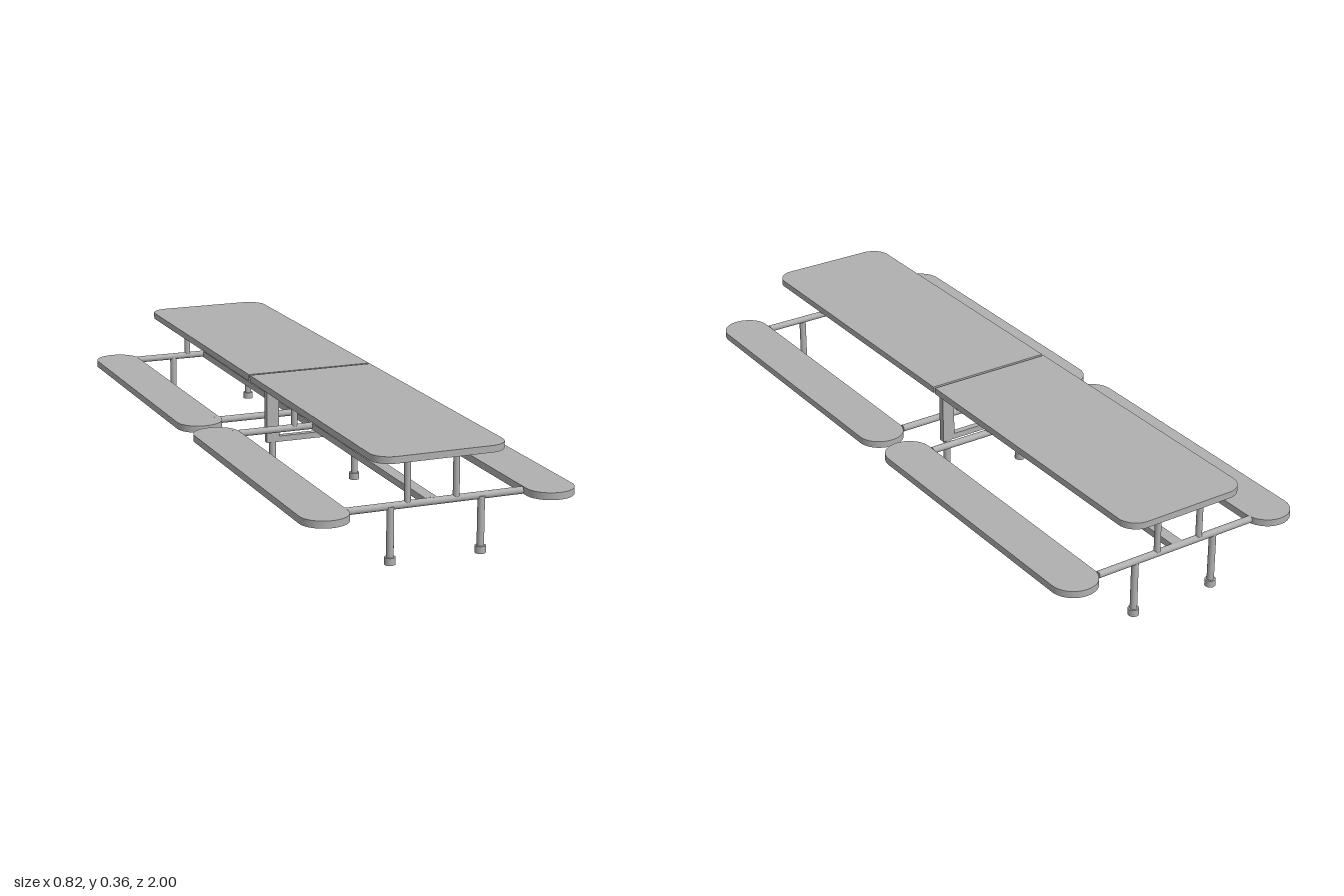
import * as THREE from 'three';

export function createModel() {
  const model = new THREE.Group();
  model.name = 'picnicTable';
  const grey = new THREE.MeshStandardMaterial({ color: 0xb0b0b0 });
  grey.name = 'grey';

  const add = (name, geometry, x, y, z) => {
    const mesh = new THREE.Mesh(geometry, grey);
    mesh.name = name;
    mesh.position.set(x, y, z);
    model.add(mesh);
    return mesh;
  };

  // Flat board in plan: rf rounds the two front corners, rb the two back ones
  const board = (name, x0, x1, z0, z1, y0, y1, rf, rb) => {
    const s = new THREE.Shape();
    const a = -z1, b = -z0; // shape y becomes -z once laid flat
    const arc = (x, y, r, start) => {
      if (r > 0) s.absarc(x, y, r, start, start + Math.PI / 2, false);
      else s.lineTo(x, y);
    };
    s.moveTo(x0 + rf, a);
    arc(x1 - rf, a + rf, rf, -Math.PI / 2);
    arc(x1 - rb, b - rb, rb, 0);
    arc(x0 + rb, b - rb, rb, Math.PI / 2);
    arc(x0 + rf, a + rf, rf, Math.PI);
    const g = new THREE.ExtrudeGeometry(s, { depth: y1 - y0, bevelEnabled: false, curveSegments: 12 });
    g.rotateX(-Math.PI / 2);
    add(name, g, 0, y0, 0);
  };

  const post = (name, x, z, y0, y1, r) =>
    add(name, new THREE.CylinderGeometry(r, r, y1 - y0, 20), x, (y0 + y1) / 2, z);

  // Two table tops, rounded only at their outer ends
  board('frontTableTop', -0.2, 0.2, -0.009, 0.968, 0.34, 0.36, 0.057, 0);
  board('backTableTop', -0.2, 0.2, -0.999, -0.018, 0.34, 0.36, 0, 0.057);

  // Four benches with fully rounded ends
  for (const side of [-1, 1]) {
    const x0 = side < 0 ? -0.41 : 0.268;
    const x1 = x0 + 0.142;
    board('frontBench', x0, x1, 0.008, 0.999, 0.192, 0.213, 0.07, 0.07);
    board('backBench', x0, x1, -1, -0.016, 0.192, 0.213, 0.07, 0.07);
  }

  // Cross bars joining the benches, with the posts under the tops
  for (const z of [0.91, 0.069, -0.1, -0.943]) {
    const bar = post('crossBar', -0.01, z, -0.073, 0.477, 0.0105);
    bar.rotation.z = Math.PI / 2;
    bar.position.y = 0.203;
    for (const x of [-0.085, 0.062]) post('topPost', x, z, 0.203, 0.342, 0.0095);
  }

  // Long beam along the middle
  add('longBeam', new THREE.BoxGeometry(0.036, 0.02, 1.853), -0.011, 0.202, -0.0165);

  // Legs with wider feet; the ground rises towards both ends
  for (const [z, bottom, top] of [[0.914, 0.038, 0.203], [0.017, 0, 0.2], [-0.942, 0.029, 0.203]]) {
    for (const x of [-0.137, 0.137]) {
      post('leg', x, z, bottom, top, 0.0105);
      post('foot', x, z, bottom, bottom + 0.021, 0.016);
    }
  }

  // Central U-shaped support frame
  const u = new THREE.Shape();
  [[-0.158, 0.15], [0.156, 0.15], [0.156, 0.341], [0.116, 0.341], [0.116, 0.168],
    [-0.118, 0.168], [-0.118, 0.341], [-0.158, 0.341]]
    .forEach(([x, y], i) => (i ? u.lineTo(x, y) : u.moveTo(x, y)));
  add('centreFrame', new THREE.ExtrudeGeometry(u, { depth: 0.02, bevelEnabled: false }), 0, 0, 0.007);

  return model;
}
